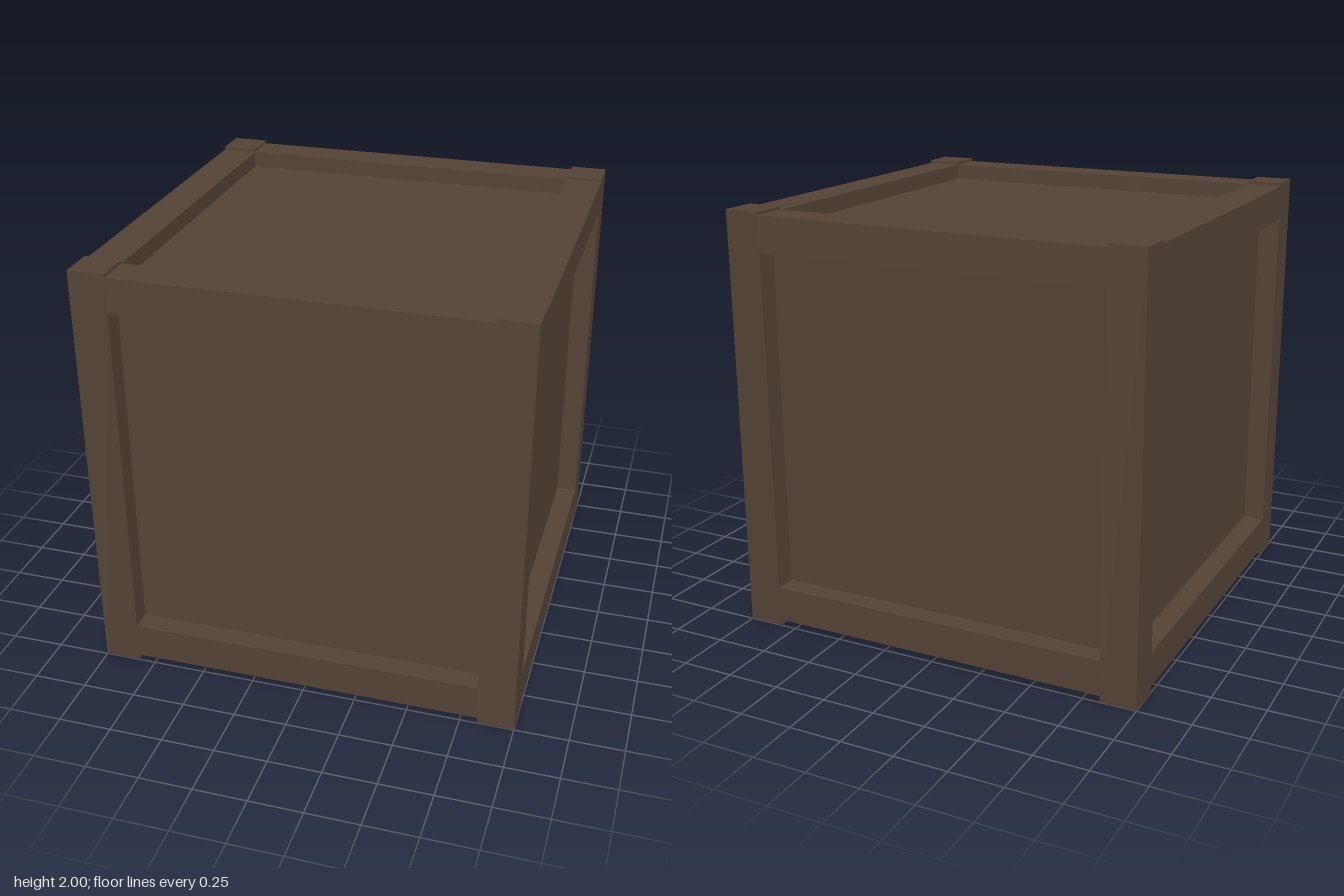
import * as THREE from 'three';

export function createModel() {
  const crate = new THREE.Group();
  crate.name = 'crate';
  const wood = new THREE.MeshStandardMaterial({ color: 0x544336 });
  wood.name = 'dark brown wood';

  const addBox = (name, size, position) => {
    const mesh = new THREE.Mesh(new THREE.BoxGeometry(...size), wood);
    mesh.name = name;
    mesh.position.set(...position);
    crate.add(mesh);
  };

  const beam = 0.17;              // width of posts and rails
  const offset = 1 - beam / 2;    // beam centre line
  const span = 2 - 2 * beam;      // clear length between posts

  // recessed panels, one solid core
  addBox('panels', [1.8, 1.8, 1.8], [0, 1.008, 0]);

  // corner posts, slightly taller than the rails
  for (const x of [-1, 1]) {
    for (const z of [-1, 1]) {
      addBox('cornerPost', [beam, 2, beam], [x * offset, 1, z * offset]);
    }
  }

  // top and bottom rails on all four sides, flush with the posts
  for (const [name, low, high] of [['bottomRail', 0.03, 0.198], ['topRail', 1.818, 1.985]]) {
    const height = high - low;
    const y = (low + high) / 2;
    for (const side of [-1, 1]) {
      addBox(name, [span, height, beam], [0, y, side * offset]);
      addBox(name, [beam, height, span], [side * offset, y, 0]);
    }
  }

  return crate;
}
